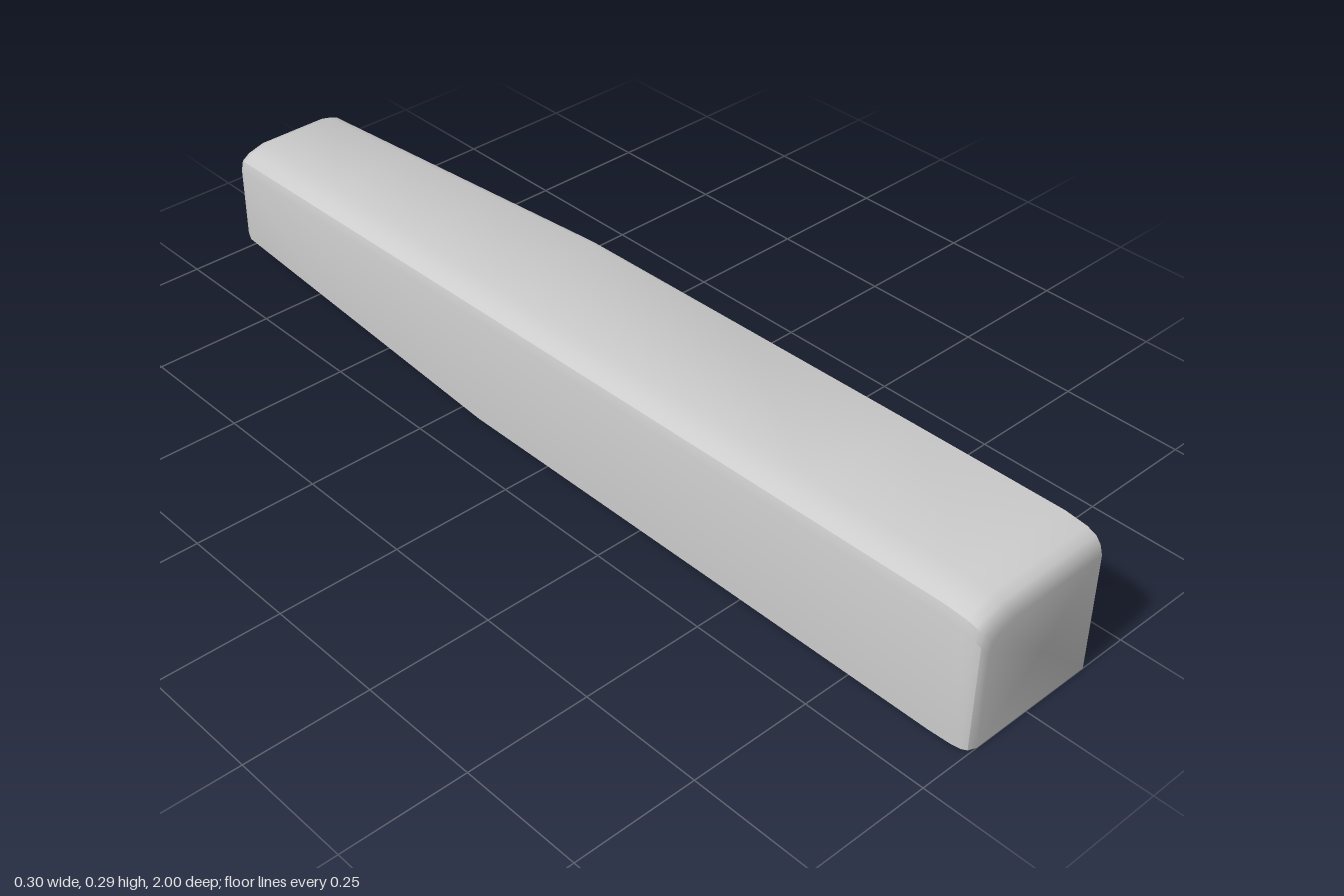
import * as THREE from 'three';
import { toCreasedNormals } from 'three/addons/utils/BufferGeometryUtils.js';

const clamp = THREE.MathUtils.clamp;

// One cross-section of the bar, counter-clockwise from its lower left corner
function section(z, top, outer) {
  const t = clamp((-0.2 - z) / 0.74, 0, 1);      // taper towards the back
  const u = clamp((0.6 - z) / 1.54, 0, 1);       // slowly growing upper bevel
  const xL = outer, xR = 0.148 - 0.057 * t, y0 = 0.037 * t;
  return [
    [xR, y0 + 0.022 * t],
    [xR, top - 0.007 * u],
    [xR - 0.02 * u, top],
    [xL + 0.06, top - 0.001],
    [xL + 0.022, top - 0.012],
    [xL + 0.005, top - 0.024],
    [xL, top - 0.045],
    [xL, y0 + 0.022 * t],
    [xL + 0.025 * t, y0],
    [xR - 0.03 * t, y0],
  ].map(([x, y]) => new THREE.Vector3(x, y, z));
}

// Skin a row of equal-sized rings, closing both ends with fans
function loft(rings, frontCentre, backCentre) {
  const n = rings[0].length, pos = [];
  const tri = (a, b, c) => pos.push(...a, ...b, ...c);
  for (let j = 0; j < n; j++) {
    const k = (j + 1) % n;
    for (let i = 0; i < rings.length - 1; i++) {
      const p = rings[i], q = rings[i + 1];
      tri(p[j], q[j], p[k]);
      tri(p[k], q[j], q[k]);
    }
    const last = rings[rings.length - 1];
    tri(frontCentre, rings[0][j], rings[0][k]);
    tri(backCentre, last[k], last[j]);
  }
  const g = new THREE.BufferGeometry();
  g.setAttribute('position', new THREE.Float32BufferAttribute(pos, 3));
  return toCreasedNormals(g, THREE.MathUtils.degToRad(34));
}

export function createModel() {
  const group = new THREE.Group();
  group.name = 'taperedBar';

  // Rounded front edge: z, top height, outer side
  const rings = [
    [1, 0.243, -0.122], [0.994, 0.262, -0.137], [0.984, 0.274, -0.143],
    [0.965, 0.282, -0.146], [0.92, 0.287, -0.148],
  ].map((p) => section(...p));

  // Long body, slightly falling and narrowing towards the back
  for (const z of [0.6, 0.2, -0.2, -0.45, -0.7, -0.94]) {
    rings.push(section(z, 0.287 - 0.022 * (0.92 - z) / 1.86, -0.148));
  }

  // Domed back end
  const rim = rings[rings.length - 1];
  const tip = new THREE.Vector3(-0.04, 0.148, -1);
  for (const [s, z] of [[0.94, -0.957], [0.82, -0.972], [0.6, -0.987], [0.3, -0.997]]) {
    rings.push(rim.map((p) => p.clone().lerp(tip, 1 - s).setZ(z)));
  }

  const bar = new THREE.Mesh(
    loft(rings, new THREE.Vector3(0.02, 0.12, 1), tip),
    new THREE.MeshStandardMaterial({ color: 0xcccccc }),
  );
  bar.name = 'barBody';
  group.add(bar);
  return group;
}
